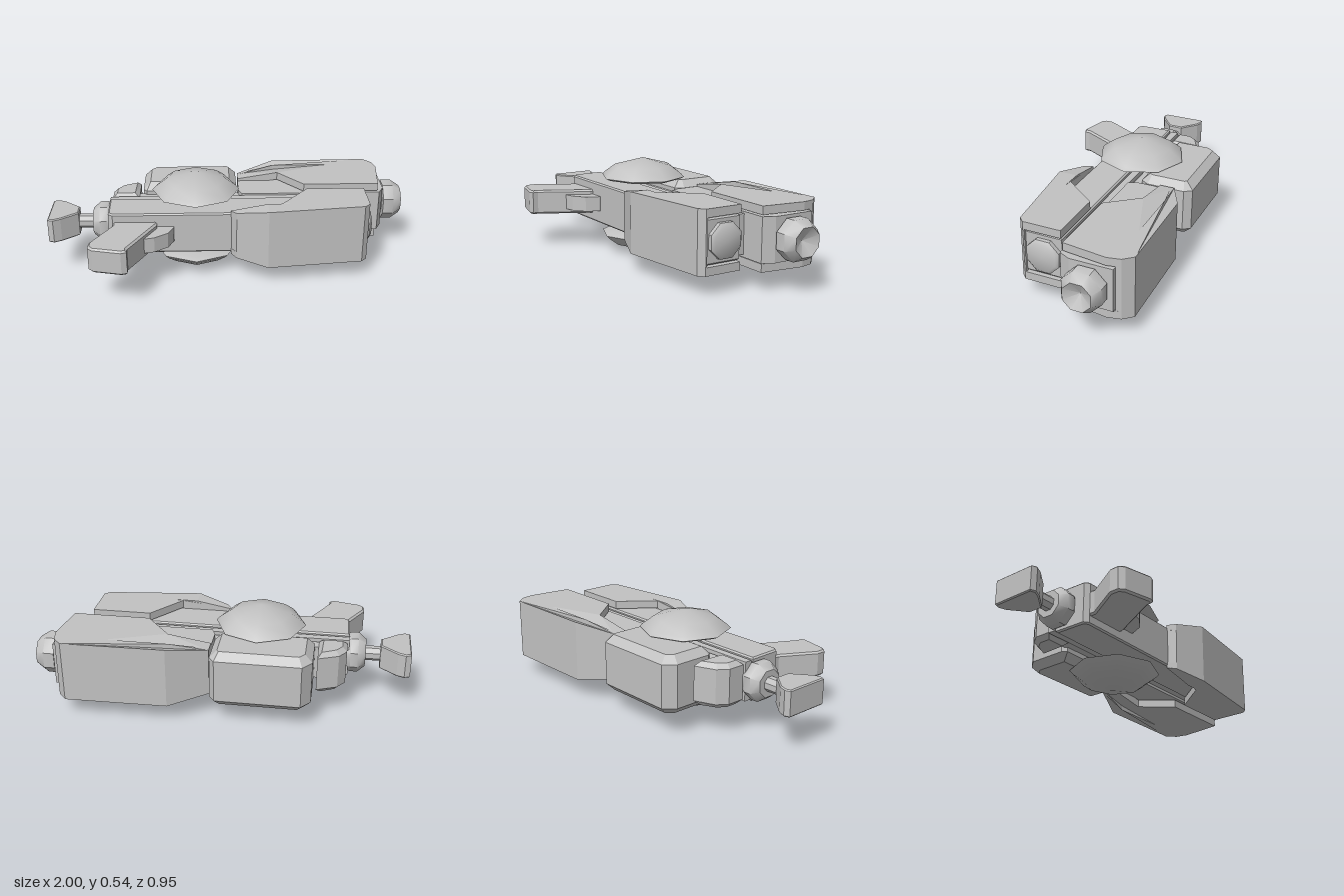
import * as THREE from 'three';
import { toCreasedNormals } from 'three/addons/utils/BufferGeometryUtils.js';

const MID = 0.2825; // mid height of the toy, which lies on its side

export function createModel() {
  const model = new THREE.Group();
  const grey = new THREE.MeshStandardMaterial({ color: 0xc2c2c2 });
  grey.name = 'grey';

  function add(name, geometry) {
    const mesh = new THREE.Mesh(geometry, grey);
    mesh.name = name;
    model.add(mesh);
    return mesh;
  }

  // Outline in (x, z), extruded upward from y0 to y1, with optional chamfer
  function slab(outline, y0, y1, bevel = 0) {
    const shape = new THREE.Shape(outline.map(([x, z]) => new THREE.Vector2(x, z)));
    const geo = new THREE.ExtrudeGeometry(shape, {
      depth: y1 - y0 - 2 * bevel, bevelEnabled: bevel > 0, bevelSize: bevel,
      bevelThickness: bevel, bevelOffset: -bevel, bevelSegments: 1,
    });
    geo.rotateX(Math.PI / 2);
    geo.translate(0, y1 - bevel, 0);
    return geo;
  }

  const rect = (x0, x1, z0, z1) => [[x0, z0], [x1, z0], [x1, z1], [x0, z1]];

  // Narrow the rear end of a shell toward the mid height
  function taper(geo, xStart, xFull) {
    const p = geo.attributes.position;
    for (let i = 0; i < p.count; i++) {
      const t = THREE.MathUtils.clamp((p.getX(i) - xStart) / (xFull - xStart), 0, 1);
      p.setY(i, MID + (p.getY(i) - MID) * (0.78 + 0.22 * t));
    }
    geo.computeVertexNormals();
    return geo;
  }

  // Eight-sided turned part along x, profile given as [radius, x]
  function turned(profile, z) {
    const geo = new THREE.LatheGeometry(profile.map(([r, x]) => new THREE.Vector2(r, x)), 8);
    geo.rotateY(Math.PI / 8);
    geo.rotateZ(-Math.PI / 2);
    geo.translate(0, MID, z);
    return toCreasedNormals(geo, 0.7);
  }

  // Main body and the rails between the two barrels
  add('body', slab([[-0.67, -0.06], [0.74, -0.06], [0.74, 0.14], [-0.64, 0.14], [-0.665, 0.12]], 0.165, 0.4, 0.008));
  add('centreRail', slab(rect(-0.67, 0.71, -0.11, -0.07), 0.18, 0.39));
  add('railCore', slab(rect(-0.62, 0.7, -0.13, -0.05), 0.2, 0.365));
  add('rearRail', slab(rect(-0.64, 0.06, -0.18, -0.12), 0.19, 0.375));

  // Upper barrel
  add('upperBarrel', slab([[0.05, -0.36], [0.26, -0.4], [0.88, -0.4], [0.88, -0.17],
    [0.85, -0.11], [0.07, -0.11], [0.05, -0.16]], 0.165, 0.4));

  // Shells: two side plates and a spine joining them along the outer edge
  function shell(name, plate, spine, xStart, xFull) {
    add(name + 'TopPlate', taper(slab(plate, 0.406, 0.45), xStart, xFull));
    add(name + 'BottomPlate', taper(slab(plate, 0.115, 0.159), xStart, xFull));
    add(name + 'Spine', taper(slab(spine, 0.115, 0.45), xStart, xFull));
  }
  shell('lowerShell',
    [[0, 0.14], [0.03, 0.18], [0.2, 0.24], [0.72, 0.18], [0.75, 0.15], [0.75, -0.06], [0.43, -0.06], [0.28, 0.13]],
    [[0, 0.135], [0.03, 0.18], [0.2, 0.24], [0.72, 0.18], [0.75, 0.15], [0.75, 0.142], [0.2, 0.135]],
    0.0, 0.2);
  shell('upperShell',
    [[0.05, -0.37], [0.26, -0.47], [0.81, -0.48], [0.855, -0.43], [0.87, -0.36], [0.84, -0.12], [0.42, -0.12],
      [0.28, -0.29], [0.05, -0.29]],
    [[0.05, -0.35], [0.05, -0.37], [0.26, -0.47], [0.81, -0.48], [0.855, -0.43], [0.86, -0.402], [0.26, -0.4]],
    0.05, 0.26);

  // Nozzles
  add('upperNozzle', turned([[0, 0.87], [0.075, 0.87], [0.075, 0.89], [0.113, 0.892], [0.113, 0.95],
    [0.08, 1.0], [0, 0.955]], -0.27));
  add('lowerNozzle', turned([[0.09, 0.73], [0.098, 0.735], [0.098, 0.762], [0.08, 0.775], [0, 0.775]], 0.037));

  // Water tank and the block behind it
  add('tank', slab([[-0.49, -0.4], [-0.44, -0.46], [0.01, -0.46], [0.04, -0.42], [0.04, -0.21],
    [0.01, -0.165], [-0.47, -0.165], [-0.49, -0.19]], 0.125, 0.438, 0.04));
  add('rearBlock', slab([[-0.66, -0.21], [-0.62, -0.265], [-0.51, -0.31], [-0.51, -0.115],
    [-0.66, -0.115]], 0.165, 0.4, 0.025));

  // Faceted domes on both sides
  for (const side of [1, -1]) {
    const profile = [[0, 0.155], [0.215, 0.155], [0.243, 0.168], [0.225, 0.187], [0.166, 0.23], [0, 0.274]];
    const geo = new THREE.LatheGeometry(profile.map(([r, y]) => new THREE.Vector2(r, y)), 8);
    const dome = add(side > 0 ? 'topDome' : 'bottomDome', toCreasedNormals(geo, 0.8));
    if (side < 0) dome.rotation.x = Math.PI;
    dome.position.set(-0.19, MID - side * 0.002, -0.077);
  }

  // Grip and trigger
  add('grip', slab([[-0.64, 0.13], [-0.4, 0.13], [-0.4, 0.16], [-0.54, 0.43], [-0.54, 0.46], [-0.57, 0.47],
    [-0.72, 0.435], [-0.745, 0.41], [-0.745, 0.36], [-0.64, 0.17]], 0.212, 0.352, 0.01));
  add('trigger', slab([[-0.46, 0.13], [-0.31, 0.13], [-0.31, 0.15], [-0.34, 0.22], [-0.41, 0.27],
    [-0.47, 0.285], [-0.48, 0.25]], 0.24, 0.325));

  // Pump: end cap, rod, collar and handle
  add('pumpCap', turned([[0, -0.76], [0.075, -0.76], [0.108, -0.72], [0.108, -0.68], [0.09, -0.65], [0, -0.65]], -0.03));
  add('pumpRod', turned([[0, -0.86], [0.04, -0.86], [0.04, -0.74], [0, -0.74]], -0.03));
  add('pumpHandle', slab([[-1, -0.15], [-0.97, -0.16], [-0.93, -0.145], [-0.84, -0.07], [-0.84, 0.01],
    [-0.93, 0.08], [-0.97, 0.1], [-1, 0.09]], 0.212, 0.352, 0.006));

  return model;
}
